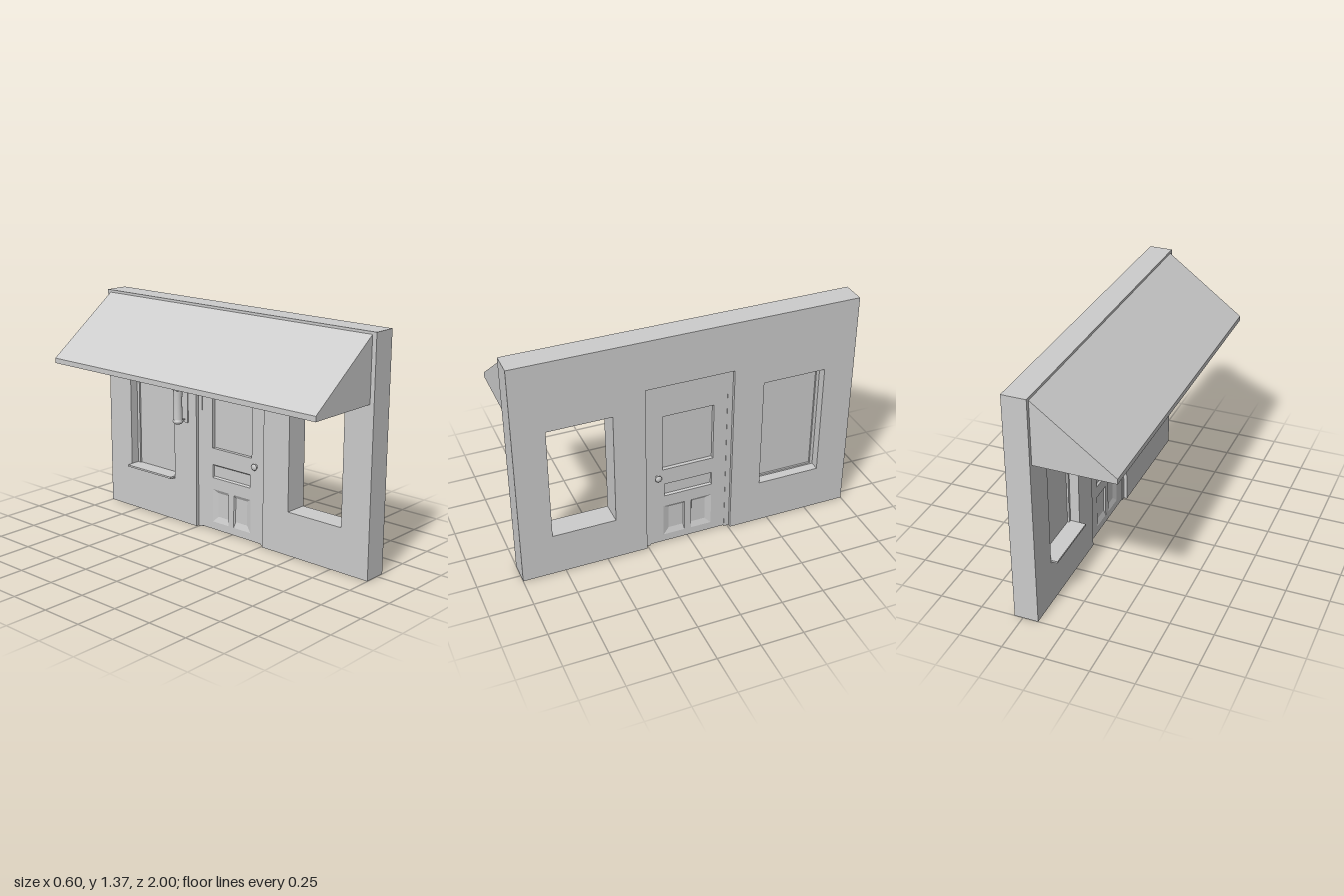
import * as THREE from 'three';

const MAT = new THREE.MeshStandardMaterial({ color: 0xcccccc });
const THIN = new THREE.MeshStandardMaterial({ color: 0xcccccc, side: THREE.DoubleSide });
const MID = 0.23; // x of the wall's middle plane

function add(parent, name, geometry, material = MAT) {
  const mesh = new THREE.Mesh(geometry, material);
  mesh.name = name;
  parent.add(mesh);
  return mesh;
}

function box(parent, name, [x0, x1], [y0, y1], [z0, z1]) {
  const g = new THREE.BoxGeometry(x1 - x0, y1 - y0, z1 - z0);
  g.translate((x0 + x1) / 2, (y0 + y1) / 2, (z0 + z1) / 2);
  return add(parent, name, g);
}

// Rectangle given as [z0, z1, y0, y1], as points in the (-z, y) plane
const rect = ([z0, z1, y0, y1]) => [[z0, y0], [z1, y0], [z1, y1], [z0, y1]];
const points = (list) => list.map(([z, y]) => new THREE.Vector2(-z, y));

// Upright slab in the z-y plane from x0 to x1; openings run opposite to the outline
function slab(parent, name, outline, holes, x0, x1) {
  const shape = new THREE.Shape(points(outline));
  holes.forEach((h) => shape.holes.push(new THREE.Path(points(rect(h)).reverse())));
  const g = new THREE.ExtrudeGeometry(shape, { depth: x1 - x0, bevelEnabled: false });
  g.rotateY(Math.PI / 2).translate(x0, 0, 0);
  return add(parent, name, g);
}

// Sunken panel with sloping sides; b = slope widths on the z0, z1, y0, y1 sides
function sunkenPanel(parent, [z0, z1, y0, y1], b, faceX, floorX) {
  const outer = rect([z0, z1, y0, y1]).map(([z, y]) => [faceX, y, z]);
  const inner = rect([z0 + b[0], z1 - b[1], y0 + b[2], y1 - b[3]]).map(([z, y]) => [floorX, y, z]);
  const out = [];
  const quad = (p, q, r, s) => {
    const corners = faceX > floorX ? [p, r, q, p, s, r] : [p, q, r, p, r, s];
    corners.forEach((c) => out.push(...c));
  };
  for (let i = 0; i < 4; i++) {
    const j = (i + 1) % 4;
    quad(outer[i], outer[j], inner[j], inner[i]);
  }
  quad(...inner);
  const g = new THREE.BufferGeometry();
  g.setAttribute('position', new THREE.Float32BufferAttribute(out, 3));
  g.computeVertexNormals();
  add(parent, 'sunkenPanel', g, THIN);
}

function lathe(profile, segments = 32) {
  return new THREE.LatheGeometry(profile.map(([r, y]) => new THREE.Vector2(r, y)), segments);
}

function buildDoor() {
  const door = new THREE.Group();
  door.name = 'door';
  // Frame with transom board, and the leaf almost flush inside it
  const frame = [[-0.26, 0], [-0.23, 0], [-0.23, 0.922], [0.23, 0.922], [0.23, 0], [0.26, 0], [0.26, 1.072], [-0.26, 1.072]];
  slab(door, 'doorFrame', frame, [], MID - 0.05, MID + 0.05);
  const glass = [-0.15, 0.155, 0.513, 0.867];
  const rail = [-0.145, 0.145, 0.33, 0.412];
  const lower = [[-0.145, -0.02, 0.053, 0.258], [0.02, 0.15, 0.053, 0.258]];
  const half = 0.048;
  slab(door, 'doorLeaf', rect([-0.23, 0.23, 0.006, 0.922]), [glass, rail, ...lower], MID - half, MID + half);
  box(door, 'doorPane', [MID - 0.025, MID + 0.025], [0.513, 0.867], [-0.15, 0.155]);

  for (const side of [1, -1]) {
    const face = MID + side * half;
    const floor = MID + side * (half - 0.011);
    sunkenPanel(door, rail, [0.003, 0.003, 0.008, 0.008], face, floor);
    sunkenPanel(door, lower[0], [0.035, 0.006, 0.035, 0.02], face, floor);
    sunkenPanel(door, lower[1], [0.006, 0.035, 0.035, 0.02], face, floor);
    // Knob turned around the x axis
    const knob = add(door, 'doorKnob', lathe([
      [0, 0], [0.017, 0], [0.017, 0.003], [0.008, 0.004], [0.008, 0.007],
      [0.016, 0.01], [0.02, 0.015], [0.017, 0.02], [0.009, 0.0235], [0, 0.0245],
    ], 24));
    knob.rotation.z = -side * Math.PI / 2;
    knob.position.set(face, 0.468, 0.185);
  }
  return door;
}

function buildWindow() {
  const win = new THREE.Group();
  win.name = 'closedWindow';
  const outer = [-0.815, -0.44, 0.262, 0.952];
  const inner = [-0.796, -0.457, 0.28, 0.935];
  slab(win, 'windowFrame', rect(outer), [inner], MID - 0.015, MID + 0.015);
  box(win, 'windowPane', [MID - 0.004, MID + 0.004], [0.28, 0.935], [-0.796, -0.457]);
  box(win, 'windowSill', [0.122, MID - 0.015], [0.27, 0.281], [-0.815, -0.44]);
  box(win, 'innerSill', [MID + 0.015, 0.301], [0.262, 0.27], [-0.815, -0.44]);
  return win;
}

function buildAwning() {
  const awning = new THREE.Group();
  awning.name = 'awning';
  const profile = (name, list, z0, z1) => {
    const shape = new THREE.Shape(list.map(([x, y]) => new THREE.Vector2(x, y)));
    const g = new THREE.ExtrudeGeometry(shape, { depth: z1 - z0, bevelEnabled: false });
    add(awning, name, g.translate(0, 0, z0));
  };
  // Sloping cover with a front lip, open underneath
  profile('awningCover', [[0.16, 1.352], [-0.3, 1.012], [-0.3, 0.982], [-0.29, 0.982], [-0.29, 1.005], [0.16, 1.338]], -0.978, 0.974);
  for (const z of [-0.978, 0.964]) {
    profile('awningSide', [[0.16, 1.348], [-0.295, 1.011], [-0.295, 0.982], [0.16, 0.982]], z, z + 0.01);
  }
  return awning;
}

function buildLamp() {
  const lamp = new THREE.Group();
  lamp.name = 'wallLamp';
  // Backplate, two arms, shade with rounded end caps
  box(lamp, 'lampPlate', [0.153, 0.16], [0.64, 0.872], [-0.025, 0.025]);
  const cap = [[0, 0], [0.014, 0.001], [0.024, 0.006], [0.03, 0.013], [0.032, 0.02], [0.03, 0.027], [0.024, 0.034], [0.014, 0.039], [0, 0.04]];
  const shade = add(lamp, 'lampShade', lathe([[0.028, 0.665], [0.0265, 0.71], [0.026, 0.758], [0.0265, 0.806], [0.028, 0.85]]));
  shade.position.x = 0.097;
  for (const y of [0.659, 0.857]) {
    add(lamp, 'lampCap', lathe(cap)).position.set(0.097, y - 0.02, 0);
    box(lamp, 'lampArm', [0.12, 0.155], [y - 0.003, y + 0.003], [-0.006, 0.006]);
  }
  lamp.position.z = -0.35;
  return lamp;
}

export function createModel() {
  const model = new THREE.Group();
  model.name = 'shopfrontWall';
  // Wall with a doorway and two window openings
  const outline = [[-1, 0], [-0.26, 0], [-0.26, 1.072], [0.26, 1.072], [0.26, 0], [1, 0], [1, 1.367], [-1, 1.367]];
  const openings = [[0.445, 0.815, 0.262, 0.952], [-0.815, -0.44, 0.262, 0.952]];
  slab(model, 'wall', outline, openings, 0.16, 0.3);
  model.add(buildDoor(), buildWindow(), buildAwning(), buildLamp());
  return model;
}
